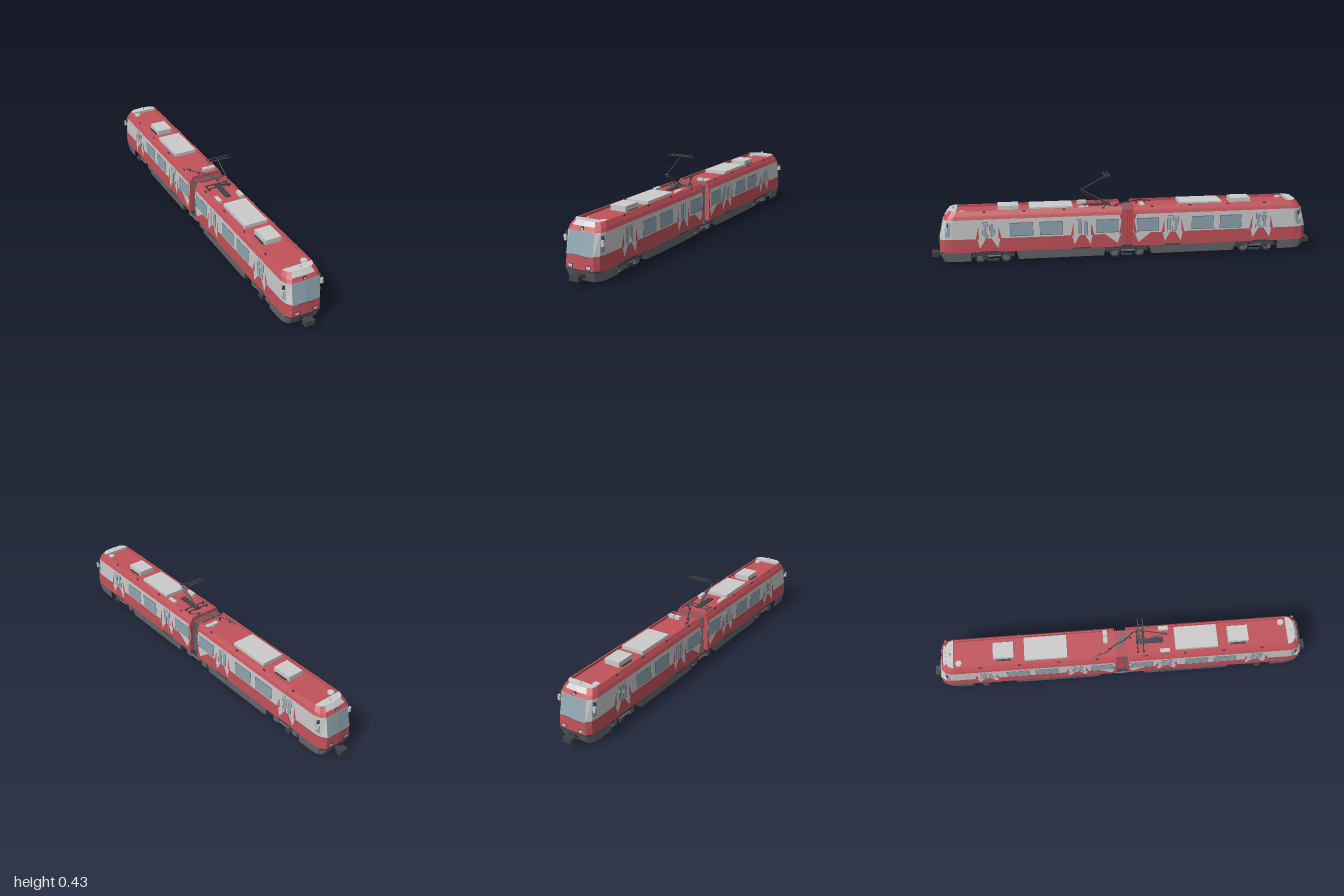
import * as THREE from 'three';

const mat = (color) => new THREE.MeshStandardMaterial({ color, flatShading: true, side: THREE.DoubleSide });
const red = mat(0xc2525a), white = mat(0xcccccc), glass = mat(0x8fa5b1), grey = mat(0x66686e), dark = mat(0x404246);

function add(parent, name, geo, material, x = 0, y = 0, z = 0) {
  const m = new THREE.Mesh(geo, material);
  m.name = name;
  m.position.set(x, y, z);
  parent.add(m);
  return m;
}
// box given by its limits on each axis
function box(parent, name, material, x0, x1, y0, y1, z0, z1) {
  return add(parent, name, new THREE.BoxGeometry(x1 - x0, y1 - y0, z1 - z0), material,
    (x0 + x1) / 2, (y0 + y1) / 2, (z0 + z1) / 2);
}
// round bar between two points
function rod(parent, name, material, a, b, r) {
  const p = new THREE.Vector3(...a), q = new THREE.Vector3(...b), d = q.clone().sub(p);
  const m = add(parent, name, new THREE.CylinderGeometry(r, r, d.length(), 8), material);
  m.position.copy(p).add(q).multiplyScalar(0.5);
  m.quaternion.setFromUnitVectors(new THREE.Vector3(0, 1, 0), d.normalize());
  return m;
}
// surface through rows of points
function loft(rows) {
  const n = rows[0].length, idx = [];
  for (let r = 0; r < rows.length - 1; r++)
    for (let c = 0; c < n - 1; c++) {
      const a = r * n + c;
      idx.push(a, a + n, a + 1, a + 1, a + n, a + n + 1);
    }
  const g = new THREE.BufferGeometry();
  g.setAttribute('position', new THREE.Float32BufferAttribute(rows.flat(2), 3));
  g.setIndex(idx);
  g.computeVertexNormals();
  return g;
}

// body levels: height, half width, half width of the nose, nose z, z where the side ends
const LEVELS = [
  [0.018, 0.092, 0.070, 0.935, 0.875], [0.065, 0.096, 0.074, 0.956, 0.89],
  [0.135, 0.096, 0.071, 0.953, 0.89], [0.235, 0.096, 0.066, 0.930, 0.885],
  [0.252, 0.090, 0.060, 0.920, 0.878], [0.275, 0.077, 0.048, 0.902, 0.865]];
const START = 0.03;

// plan outline of the body at height y, from one side round the nose to the other
function outline(y, z0 = START) {
  let i = 0;
  while (i < LEVELS.length - 2 && y > LEVELS[i + 1][0]) i++;
  const t = (y - LEVELS[i][0]) / (LEVELS[i + 1][0] - LEVELS[i][0]);
  const [, hw, fw, zf, zs] = LEVELS[i].map((v, k) => v + (LEVELS[i + 1][k] - v) * t);
  const half = [[hw, y, z0], [hw, y, zs], [(hw + fw) / 2 + 0.006, y, zs + (zf - zs) * 0.62], [fw, y, zf]];
  return [...half, [0, y, zf + 0.004], ...half.slice().reverse().map(([x, h, z]) => [-x, h, z])];
}
// patch lying on the nose between two heights and two outline positions
function nosePatch(parent, name, material, y0, y1, t0, t1, off = 0.0015) {
  const row = (y) => {
    const o = outline(y), ts = [t0];
    for (let t = Math.floor(t0) + 1; t < t1; t++) ts.push(t);
    ts.push(t1);
    return ts.map((t) => {
      const i = Math.min(Math.floor(t), 7), f = t - i;
      const p = o[i].map((v, k) => v + (o[i + 1][k] - v) * f);
      return [p[0] + Math.sign(p[0]) * off, y, p[2] + off];
    });
  };
  add(parent, name, loft([row(y0), row(y1)]), material);
}
// flat painted shape on a side wall, points as [z, y]
function sidePaint(parent, name, material, side, pts, off = 0.0968) {
  const g = new THREE.ShapeGeometry(new THREE.Shape(pts.map((p) => new THREE.Vector2(...p))));
  g.rotateY(-Math.PI / 2);
  g.computeVertexNormals();
  add(parent, name, g, material, side * off);
}

function bogie(z) {
  const g = new THREE.Group();
  g.name = 'bogie';
  g.position.z = z;
  for (const a of [-0.065, 0.065]) {
    rod(g, 'axle', dark, [-0.06, 0.027, a], [0.06, 0.027, a], 0.006);
    for (const s of [-1, 1]) {
      const wheel = add(g, 'wheel', new THREE.CylinderGeometry(0.027, 0.027, 0.012, 20), dark, s * 0.054, 0.027, a);
      wheel.rotation.z = Math.PI / 2;
      box(g, 'axleBox', grey, s * 0.072 - 0.008, s * 0.072 + 0.008, 0.016, 0.04, a - 0.016, a + 0.016);
      rod(g, 'spring', dark, [s * 0.074, 0.036, a * 0.62], [s * 0.074, 0.064, a * 0.62], 0.009);
    }
    box(g, 'crossBeam', dark, -0.07, 0.07, 0.03, 0.045, a * 0.5 - 0.008, a * 0.5 + 0.008);
    box(g, 'endBeam', dark, -0.07, 0.07, 0.028, 0.038, a * 1.6 - 0.004, a * 1.6 + 0.004);
  }
  for (const s of [-1, 1]) {
    box(g, 'sideFrame', dark, s * 0.072 - 0.007, s * 0.072 + 0.007, 0.034, 0.048, -0.108, 0.108);
    box(g, 'trackBrake', dark, s * 0.055 - 0.006, s * 0.055 + 0.006, 0.006, 0.016, -0.03, 0.03);
    rod(g, 'damper', grey, [s * 0.085, 0.04, -0.035], [s * 0.085, 0.04, 0.035], 0.005);
  }
  box(g, 'bolster', dark, -0.05, 0.05, 0.045, 0.064, -0.03, 0.03);
  return g;
}

function car() {
  const g = new THREE.Group();
  g.name = 'car';
  // shell, one band per colour
  const band = (name, m, y0, y1, z0) => add(g, name, loft([outline(y0, z0), outline(y1, z0)]), m);
  band('frontSkirt', grey, 0.018, 0.065, 0.8);
  band('lowerShell', red, 0.065, 0.135);
  band('windowBand', white, 0.135, 0.235);
  band('upperStripe', red, 0.235, 0.252);
  band('roofSlope', red, 0.252, 0.275);
  const end = new THREE.Shape();
  for (const s of [1, -1]) {
    const lv = LEVELS.slice(1);
    (s > 0 ? lv : lv.reverse()).forEach(([y, hw]) => (end.curves.length || end.currentPoint.x ? end.lineTo(s * hw, y) : end.moveTo(s * hw, y)));
  }
  add(g, 'endWall', new THREE.ShapeGeometry(end), red, 0, 0, START);

  // roof
  box(g, 'roof', red, -0.077, 0.077, 0.256, 0.263, START, 0.866);
  const capPts = outline(0.275).slice(1, 8).map(([x, , z]) => new THREE.Vector2(x, -z));
  const cap = new THREE.ExtrudeGeometry(new THREE.Shape(capPts), { depth: 0.016, bevelEnabled: false });
  cap.rotateX(-Math.PI / 2);
  add(g, 'cabRoof', cap, white, 0, 0.2605, 0);
  box(g, 'converter', white, -0.061, 0.061, 0.262, 0.281, 0.28, 0.5);
  box(g, 'airConditioner', white, -0.042, 0.042, 0.262, 0.289, 0.555, 0.66);
  add(g, 'roofVent', new THREE.CylinderGeometry(0.016, 0.016, 0.008, 16), white, 0.05, 0.267, 0.84);
  add(g, 'horn', new THREE.CylinderGeometry(0.004, 0.01, 0.013, 4), white, 0, 0.283, 0.885);

  // side walls, mirrored
  for (const s of [-1, 1]) {
    const wall = (name, m, y0, y1, z0, z1, d = 0.0975) => box(g, name, m, ...(s > 0 ? [0.094, d] : [-d, -0.094]), y0, y1, z0, z1);
    box(g, 'gutter', red, s * 0.0735 - 0.0035, s * 0.0735 + 0.0035, 0.262, 0.275, START, 0.866);
    box(g, 'coolerFlap', dark, s * 0.047 - 0.004, s * 0.047 + 0.004, 0.262, 0.268, 0.57, 0.645);
    for (let i = 0; i < 4; i++) box(g, 'roofBracket', dark, s * 0.081 - 0.003, s * 0.081 + 0.003, 0.267, 0.273, 0.12 + i * 0.2, 0.135 + i * 0.2);
    for (const [a, b] of [[0.487, 0.6], [0.337, 0.45], [0.048, 0.16]]) {
      wall('windowFrame', grey, 0.143, 0.213, a - 0.002, b + 0.002, 0.0972);
      wall('window', glass, 0.146, 0.21, a, b, 0.0978);
    }
    for (const [a, b] of [[0.663, 0.755], [0.193, 0.278]]) {
      const mid = (a + b) / 2, w = (b - a) / 2;
      // painted spikes round each door
      for (const k of [-1, 1]) {
        sidePaint(g, 'whiteSpike', white, s, [[mid + k * w * 0.3, 0.136], [mid + k * w * 1.25, 0.136], [mid + k * w, 0.085]]);
        sidePaint(g, 'redSpike', red, s, [[mid + k * w * 1.05, 0.134], [mid + k * w * 1.4, 0.134], [mid + k * w * 1.08, 0.2]], 0.097);
        const c = mid + k * w * 0.36;
        wall('doorFrame', dark, 0.138, 0.22, c - 0.0125, c + 0.0125, 0.0973);
        wall('doorLeaf', white, 0.139, 0.219, c - 0.0115, c + 0.0115, 0.0977);
        wall('doorGlass', glass, 0.143, 0.212, c - 0.008, c + 0.008, 0.0982);
      }
      wall('doorStep', dark, 0.064, 0.07, a, b, 0.099);
    }
    // spikes by the joint
    sidePaint(g, 'jointRed', red, s, [[START, 0.134], [0.046, 0.134], [0.034, 0.2], [0.045, 0.236], [START, 0.236]], 0.097);
    sidePaint(g, 'jointWhite', white, s, [[0.035, 0.136], [0.12, 0.136], [0.055, 0.085]]);
    // skirt and underframe
    add(g, 'skirt', loft([[[s * 0.096, 0.066, 0.115], [s * 0.096, 0.066, 0.572]], [[s * 0.092, 0.02, 0.125], [s * 0.092, 0.02, 0.562]],
      [[s * 0.055, 0.02, 0.125], [s * 0.055, 0.02, 0.562]], [[s * 0.05, 0.032, 0.125], [s * 0.05, 0.032, 0.562]]]), grey);
    for (const z of [0.125, 0.562]) box(g, 'skirtEnd', dark, s * 0.073 - 0.02, s * 0.073 + 0.02, 0.02, 0.066, z - 0.002, z + 0.002);
    box(g, 'step', dark, s * 0.099 - 0.005, s * 0.099 + 0.005, 0.03, 0.05, 0.715, 0.745);
    // cab side details
    box(g, 'mirror', white, s * 0.1 - 0.006, s * 0.1 + 0.006, 0.178, 0.205, 0.912, 0.924);
    box(g, 'mirrorArm', dark, s * 0.094 - 0.006, s * 0.094 + 0.006, 0.2, 0.222, 0.908, 0.914);
    const [t0, t1] = s > 0 ? [1.25, 1.95] : [6.05, 6.75];
    nosePatch(g, 'cabSideWindow', glass, 0.15, 0.222, t0, t1);
    nosePatch(g, 'roofWedge', red, 0.252, 0.268, s > 0 ? 2.1 : 5.1, s > 0 ? 2.9 : 5.9, 0.002);
    nosePatch(g, 'headlight', white, 0.077, 0.09, s > 0 ? 3.25 : 4.5, s > 0 ? 3.5 : 4.75, 0.002);
    nosePatch(g, 'headlightRim', dark, 0.074, 0.093, s > 0 ? 3.2 : 4.45, s > 0 ? 3.55 : 4.8, 0.001);
  }
  box(g, 'floor', dark, -0.094, 0.094, 0.06, 0.067, START, 0.9);
  box(g, 'bellyTray', grey, -0.052, 0.052, 0.03, 0.06, 0.125, 0.562);
  box(g, 'cabFloor', dark, -0.07, 0.07, 0.05, 0.066, 0.81, 0.94);

  // nose
  nosePatch(g, 'windscreen', glass, 0.133, 0.235, 3.02, 4.98, 0.002);
  nosePatch(g, 'cabRoofFront', white, 0.256, 0.276, 3, 5);
  nosePatch(g, 'bumperStrip', dark, 0.064, 0.071, 2, 6, 0.002);
  nosePatch(g, 'couplerOpening', dark, 0.026, 0.052, 3.65, 4.35, 0.001);
  rod(g, 'wiper', dark, [-0.045, 0.137, 0.96], [0.005, 0.135, 0.961], 0.0012);
  rod(g, 'wiper', dark, [0.005, 0.135, 0.961], [0.045, 0.125, 0.96], 0.0012);
  const lamp = add(g, 'topLamp', new THREE.CylinderGeometry(0.009, 0.009, 0.008, 16), dark, 0, 0.247, 0.926);
  lamp.rotation.x = Math.PI / 2;
  const lens = add(g, 'topLampLens', new THREE.CircleGeometry(0.006, 16), white, 0, 0.247, 0.9305);
  lens.castShadow = false;
  box(g, 'plough', dark, -0.058, 0.058, 0.01, 0.02, 0.9, 0.925);
  box(g, 'couplerShaft', dark, -0.01, 0.01, 0.034, 0.048, 0.9, 0.972);
  box(g, 'couplerHead', dark, -0.024, 0.024, 0.028, 0.054, 0.968, 1.0);
  g.add(bogie(0.69));
  return g;
}

function pantograph() {
  const g = new THREE.Group();
  g.name = 'pantograph';
  for (const z of [0.085, 0.115]) {
    rod(g, 'baseBar', dark, [-0.065, 0.274, z], [0.065, 0.274, z], 0.003);
    for (const x of [-0.055, 0.055]) add(g, 'insulator', new THREE.CylinderGeometry(0.004, 0.007, 0.012, 10), dark, x, 0.268, z);
  }
  box(g, 'baseFrame', dark, -0.014, 0.014, 0.268, 0.274, 0.08, 0.22);
  rod(g, 'lowerArm', dark, [0, 0.275, 0.095], [0, 0.352, 0.23], 0.0035);
  rod(g, 'controlRod', dark, [0.006, 0.27, 0.13], [0.004, 0.345, 0.232], 0.0015);
  rod(g, 'knee', dark, [-0.006, 0.352, 0.23], [0.006, 0.352, 0.23], 0.005);
  rod(g, 'upperArm', dark, [0, 0.352, 0.23], [0, 0.422, 0.1], 0.0022);
  for (const z of [0.088, 0.112]) {
    box(g, 'contactStrip', dark, -0.058, 0.058, 0.427, 0.43, z - 0.003, z + 0.003);
    for (const s of [-1, 1]) rod(g, 'stripHorn', dark, [s * 0.057, 0.428, z], [s * 0.07, 0.421, z], 0.0013);
  }
  for (const x of [-0.03, 0, 0.03]) box(g, 'headLink', dark, x - 0.001, x + 0.001, 0.422, 0.427, 0.086, 0.114);
  return g;
}

export function createModel() {
  const model = new THREE.Group();
  model.name = 'articulatedTrain';
  const front = car(), rear = car();
  front.name = 'frontCar';
  rear.name = 'rearCar';
  rear.rotation.y = Math.PI;
  model.add(front, rear, pantograph(), bogie(0));

  // gangway between the cars
  box(model, 'gangway', red, -0.072, 0.072, 0.066, 0.255, -START, START);
  for (let i = -2; i <= 2; i++) box(model, 'bellowsRib', grey, -0.076, 0.076, 0.07, 0.258, i * 0.011 - 0.002, i * 0.011 + 0.002);

  // roof electrics
  for (const s of [-1, 1]) box(model, 'roofCabinet', white, s * 0.062 - 0.01, s * 0.062 + 0.01, 0.262, 0.28, 0.2, 0.25);
  for (const x of [0.02, 0.058]) box(model, 'switchBox', white, x - 0.016, x + 0.016, 0.262, 0.278, -0.09, -0.068);
  const cable = new THREE.CatmullRomCurve3([[-0.065, 0.265, -0.145], [-0.05, 0.275, -0.08], [-0.02, 0.277, -0.04],
    [0.01, 0.277, 0.02], [0.055, 0.272, 0.07]].map((p) => new THREE.Vector3(...p)));
  add(model, 'roofCable', new THREE.TubeGeometry(cable, 24, 0.003, 6), dark);
  for (const z of [-0.11, -0.06, 0.05]) add(model, 'cableInsulator', new THREE.CylinderGeometry(0.004, 0.006, 0.014, 10), dark, z * 0.5, 0.269, z);
  return model;
}
